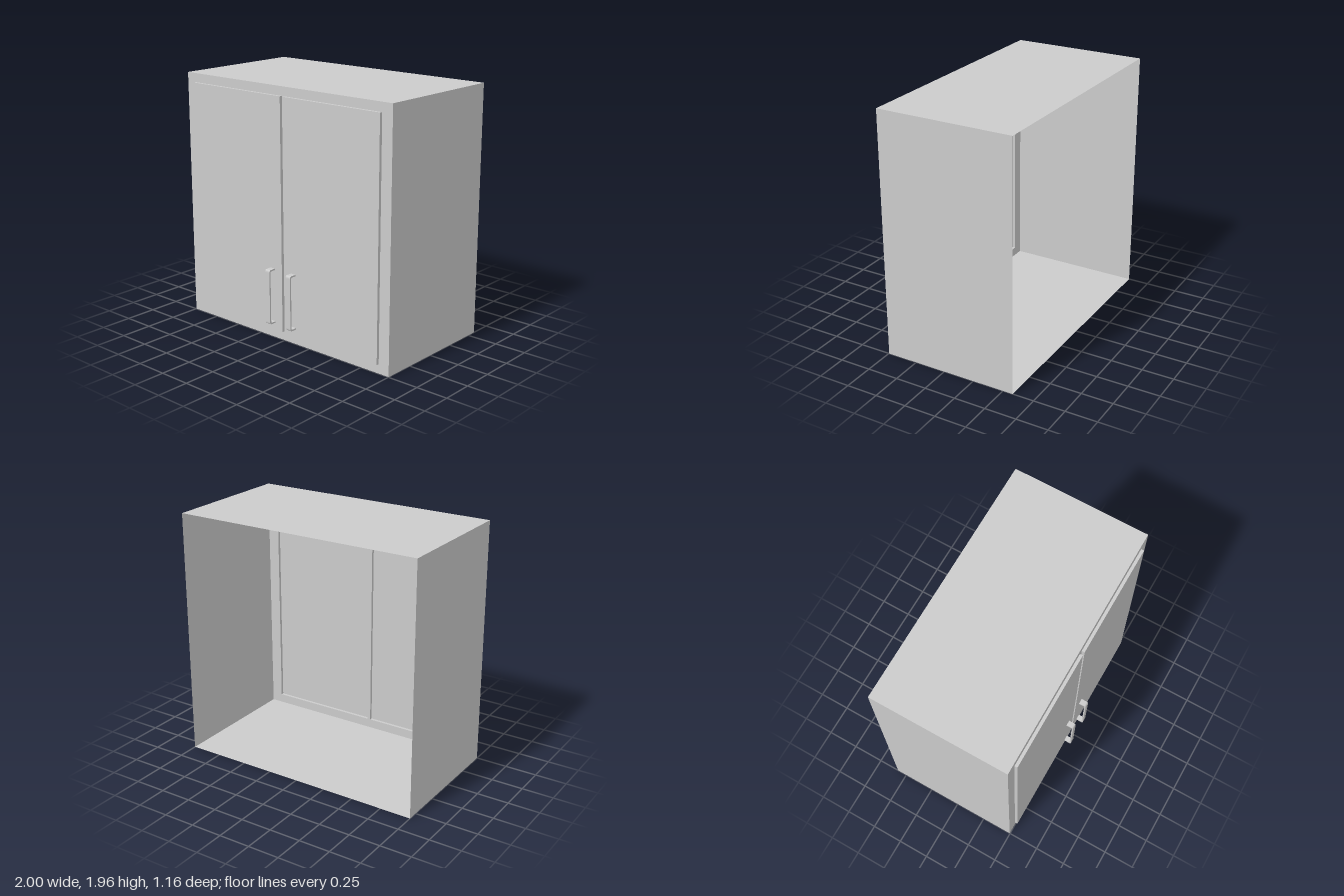
import * as THREE from 'three';

const BACK = -0.58, FRONT = 0.497, DOOR = 0.52, HANDLE = 0.58, HEIGHT = 1.955;
const DOOR_BOTTOM = 0.072, DOOR_TOP = 1.885;
const DOORS = [
  { name: 'rightDoor', x0: -0.913, x1: -0.004, handleX: -0.0975 },
  { name: 'leftDoor', x0: 0.021, x1: 0.91, handleX: 0.1125 },
];

const material = new THREE.MeshStandardMaterial({ color: 0xcccccc, side: THREE.DoubleSide });

function addMesh(parent, name, geometry) {
  const mesh = new THREE.Mesh(geometry, material);
  mesh.name = name;
  parent.add(mesh);
  return mesh;
}

// Box between two corners that keeps only the listed faces
// (0 +x, 1 -x, 2 +y, 3 -y, 4 +z, 5 -z)
function openBox(x0, x1, y0, y1, z0, z1, faces) {
  const g = new THREE.BoxGeometry(x1 - x0, y1 - y0, z1 - z0);
  const index = Array.from(g.index.array);
  g.setIndex(faces.flatMap((f) => index.slice(f * 6, f * 6 + 6)));
  g.clearGroups();
  g.translate((x0 + x1) / 2, (y0 + y1) / 2, (z0 + z1) / 2);
  return g;
}

function rectangle(path, x0, x1, y0, y1) {
  path.moveTo(x0, y0).lineTo(x1, y0).lineTo(x1, y1).lineTo(x0, y1).closePath();
  return path;
}

// U-shaped pull: side profile extruded across its width
function handleGeometry() {
  const y0 = 0.131, y1 = 0.567, t = 0.012, width = 0.044;
  const R = 0.02, r = 0.01, z = HANDLE, zi = HANDLE - t;
  const s = new THREE.Shape();
  s.moveTo(DOOR, y0).lineTo(z - R, y0);
  s.quadraticCurveTo(z, y0, z, y0 + R);
  s.lineTo(z, y1 - R);
  s.quadraticCurveTo(z, y1, z - R, y1);
  s.lineTo(DOOR, y1).lineTo(DOOR, y1 - t).lineTo(zi - r, y1 - t);
  s.quadraticCurveTo(zi, y1 - t, zi, y1 - t - r);
  s.lineTo(zi, y0 + t + r);
  s.quadraticCurveTo(zi, y0 + t, zi - r, y0 + t);
  s.lineTo(DOOR, y0 + t).closePath();
  const g = new THREE.ExtrudeGeometry(s, { depth: width, bevelEnabled: false, curveSegments: 5 });
  return g.rotateY(-Math.PI / 2).translate(width / 2, 0, 0);
}

export function createModel() {
  const cabinet = new THREE.Group();
  cabinet.name = 'wallCabinet';

  // Thin carcass: two sides, top and bottom, open at the back
  addMesh(cabinet, 'carcass', openBox(-1, 1, 0, HEIGHT, BACK, FRONT, [0, 1, 2, 3]));

  // Face frame with an opening behind each door
  const frame = rectangle(new THREE.Shape(), -1, 1, 0, HEIGHT);
  for (const d of DOORS) {
    frame.holes.push(rectangle(new THREE.Path(), d.x0, d.x1, DOOR_BOTTOM, DOOR_TOP));
  }
  addMesh(cabinet, 'faceFrame', new THREE.ShapeGeometry(frame).translate(0, 0, FRONT));

  // Raised doors, hollow from behind, each with a pull
  const pull = handleGeometry();
  for (const d of DOORS) {
    const door = new THREE.Group();
    door.name = d.name;
    addMesh(door, 'doorPanel',
      openBox(d.x0, d.x1, DOOR_BOTTOM, DOOR_TOP, FRONT, DOOR, [0, 1, 2, 3, 4]));
    addMesh(door, 'handle', pull).position.x = d.handleX;
    cabinet.add(door);
  }
  return cabinet;
}
